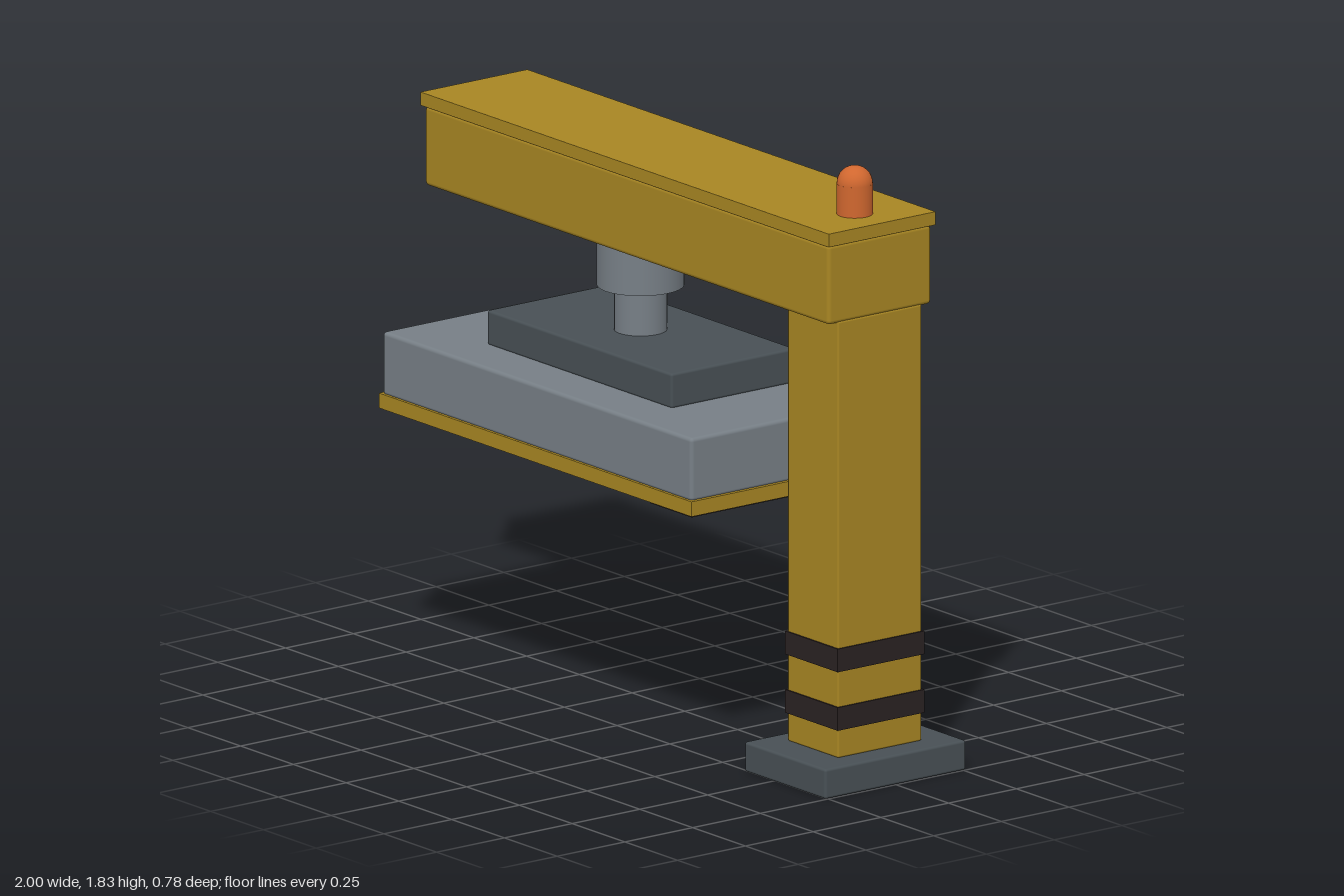
import * as THREE from 'three';
import { RoundedBoxGeometry } from 'three/addons/geometries/RoundedBoxGeometry.js';

const material = (name, color) => {
  const m = new THREE.MeshStandardMaterial({ color });
  m.name = name;
  return m;
};

export function createModel() {
  const yellow = material('ochre yellow', 0xa88623);
  const grey = material('steel grey', 0x777f86);
  const dark = material('dark grey', 0x485055);
  const black = material('stripe black', 0x2a2222);
  const orange = material('lamp orange', 0xd0672f);

  const model = new THREE.Group();
  model.name = 'gantryPress';

  const add = (name, geometry, mat, x, y) => {
    const mesh = new THREE.Mesh(geometry, mat);
    mesh.name = name;
    mesh.position.set(x, y, 0);
    model.add(mesh);
  };

  // Box given by its x range, y range and half depth; bevel rounds the edges
  const box = (name, mat, x0, x1, y0, y1, halfZ, bevel = 0) => {
    const size = [x1 - x0, y1 - y0, halfZ * 2];
    const geometry = bevel
      ? new RoundedBoxGeometry(...size, 2, bevel)
      : new THREE.BoxGeometry(...size);
    add(name, geometry, mat, (x0 + x1) / 2, (y0 + y1) / 2);
  };

  const cylinder = (name, mat, r, x, y0, y1) =>
    add(name, new THREE.CylinderGeometry(r, r, y1 - y0, 32), mat, x, (y0 + y1) / 2);

  // Foot, column and warning bands
  box('foot', dark, 0.615, 1, 0, 0.09, 0.26, 0.008);
  box('column', yellow, 0.685, 0.925, 0.09, 1.41, 0.155, 0.006);
  for (const y of [0.175, 0.352]) box('warningBand', black, 0.68, 0.93, y, y + 0.07, 0.16);

  // Overhead beam with its cap plate
  box('beam', yellow, -0.99, 0.925, 1.405, 1.645, 0.19, 0.012);
  box('beamCap', yellow, -1, 0.935, 1.645, 1.685, 0.197);

  // Ram hanging from the beam
  cylinder('ramCollar', grey, 0.128, -0.21, 1.245, 1.41);
  cylinder('ramRod', grey, 0.078, -0.21, 1.1, 1.25);

  // Press head, with a dark strip under its column end
  box('mountPlate', dark, -0.645, 0.23, 1.005, 1.11, 0.228, 0.008);
  box('pressBlock', grey, -0.94, 0.525, 0.815, 1.007, 0.385, 0.012);
  box('pressPlate', yellow, -0.947, 0.535, 0.775, 0.82, 0.392);
  box('undersideStrip', black, 0.335, 0.53, 0.771, 0.778, 0.388);

  // Signal lamp
  cylinder('lampBody', orange, 0.053, 0.805, 1.685, 1.777);
  add('lampDome', new THREE.SphereGeometry(0.053, 24, 8, 0, Math.PI * 2, 0, Math.PI / 2), orange, 0.805, 1.777);

  return model;
}
